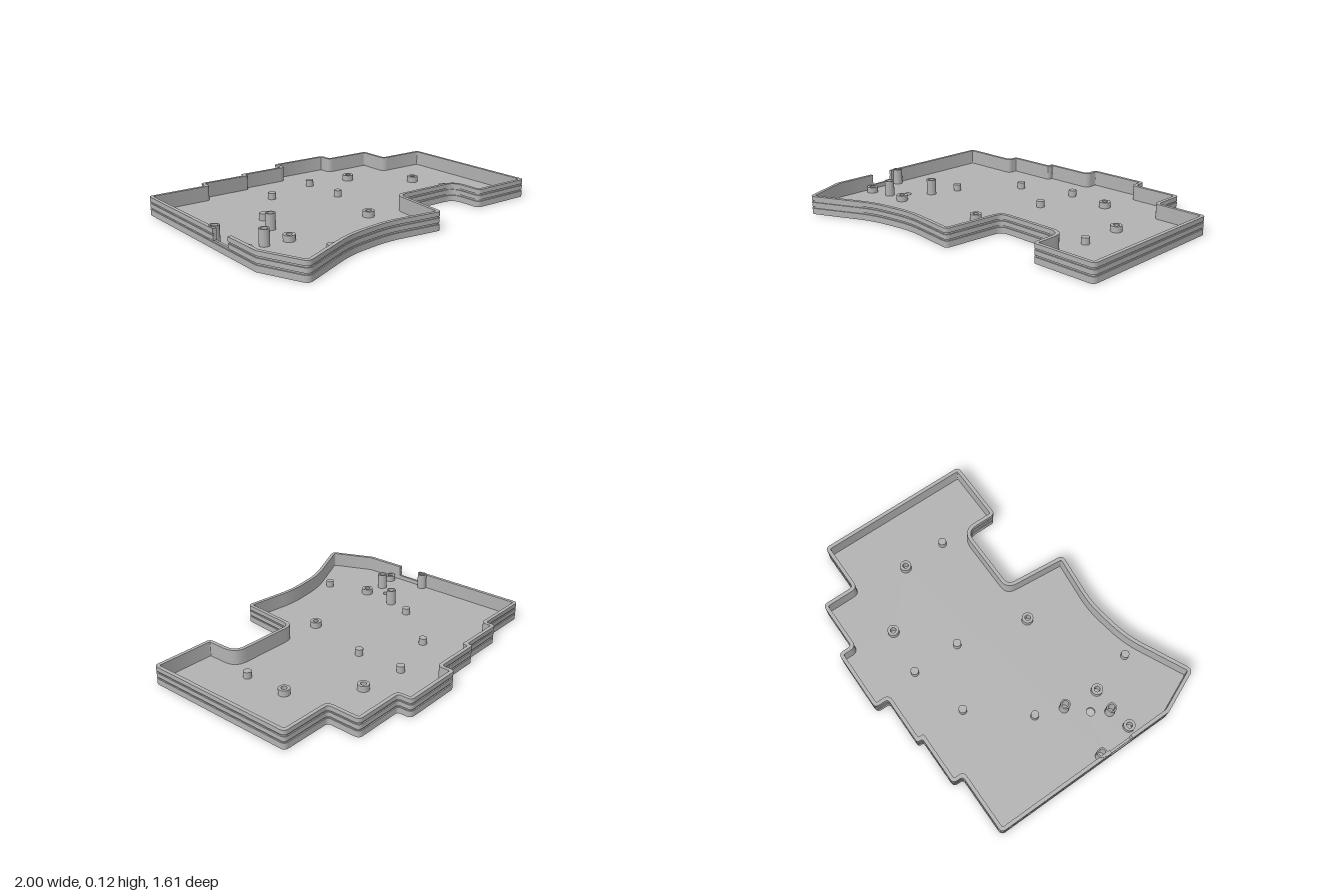
import * as THREE from 'three';
import { toCreasedNormals } from 'three/addons/utils/BufferGeometryUtils.js';

const HEIGHT = 0.11, FLOOR = 0.02, WALL = 0.022, GROOVE = 0.007;

// Sharp corners of the outline as [x, z, radius]; starts and ends at the side notch
const CORNERS = [
  [-1, 0.13, 0], [-1, -0.625, 0.03],
  [-0.63, -0.625, 0.02], [-0.63, -0.69, 0.03],
  [-0.325, -0.69, 0.015], [-0.325, -0.725, 0.02],
  [-0.02, -0.725, 0.02], [-0.02, -0.81, 0.03],
  [0.375, -0.81, 0.03], [0.375, -0.725, 0.02],
  [0.687, -0.725, 0.03], [0.687, -0.52, 0.02],
  [1, -0.52, 0.03], [1, 0.46, 0.03],
  [0.597, 0.46, 0.03], [0.597, 0.25, 0.07],
  [0.165, 0.25, 0.05], [0.13, 0.632, 0.03],
  [-0.22, 0.592, 0.7], [-0.5, 0.635, 0.7],
  [-0.883, 0.815, 0.035], [-1, 0.54, 0.04], [-1, 0.28, 0],
];

// Outline moved inwards by an inset, with its corners rounded
function outline(inset) {
  const n = CORNERS.length;
  const pts = CORNERS.map(([x, z]) => new THREE.Vector2(x, z));
  const dirs = pts.map((p, i) => pts[(i + 1) % n].clone().sub(p).normalize());
  const turns = pts.map((p, i) => {
    const a = dirs[(i + n - 1) % n], b = dirs[i];
    return Math.atan2(a.cross(b), a.dot(b));
  });
  const moved = pts.map((p, i) => {
    const a = dirs[(i + n - 1) % n], b = dirs[i];
    const k = inset / (1 + a.dot(b));
    return new THREE.Vector2(p.x - (a.y + b.y) * k, p.y + (a.x + b.x) * k);
  });
  const out = [];
  moved.forEach((p, i) => {
    const r = CORNERS[i][2];
    if (r === 0) { out.push(p); return; }
    const before = moved[(i + n - 1) % n], after = moved[(i + 1) % n];
    const radius = Math.max(0.006, r - Math.sign(turns[i]) * inset);
    const d = Math.min(radius * Math.tan(Math.abs(turns[i]) / 2),
      0.48 * p.distanceTo(before), 0.48 * p.distanceTo(after));
    const start = p.clone().addScaledVector(dirs[(i + n - 1) % n], -d);
    const end = p.clone().addScaledVector(dirs[i], d);
    out.push(...new THREE.QuadraticBezierCurve(start, p, end).getPoints(8));
  });
  return out;
}

function circlePath(x, z, r) {
  return new THREE.Path().absarc(x, z, r, 0, Math.PI * 2, true);
}

// Extrudes a plan shape between two heights
function slab(shape, y0, y1) {
  const g = new THREE.ExtrudeGeometry(shape, { depth: y1 - y0, bevelEnabled: false, curveSegments: 24 });
  g.rotateX(Math.PI / 2);
  g.translate(0, y1, 0);
  return toCreasedNormals(g, 0.6);
}

export function createModel() {
  const model = new THREE.Group();
  model.name = 'caseTray';
  const grey = new THREE.MeshStandardMaterial({ color: 0xb2b2b2 });
  grey.name = 'grey';
  const add = (name, geometry) => {
    const mesh = new THREE.Mesh(geometry, grey);
    mesh.name = name;
    model.add(mesh);
    return mesh;
  };

  const screwPosts = [[0.335, -0.465], [0.645, -0.175], [-0.06, 0.235], [-0.925, 0.325], [-0.65, 0.305]];
  const tallPosts = [[-0.967, 0.087], [-0.625, 0.087], [-0.793, 0.29]];
  const pegs = [[0.05, -0.5], [0.05, -0.2], [-0.3, -0.4], [-0.565, -0.08], [0.65, 0.1], [-0.575, 0.57]];

  // Floor with screw holes and one reset hole
  const floor = new THREE.Shape(outline(0));
  screwPosts.forEach(([x, z]) => floor.holes.push(circlePath(x, z, 0.017)));
  floor.holes.push(circlePath(-0.73, 0.2, 0.025));
  add('floor', slab(floor, 0, FLOOR));

  // Wall in layers: recessed layers make the grooves, upper layers leave the side notch open
  const inner = outline(WALL);
  [
    ['lowerWall', FLOOR, 0.036, 0, false],
    ['lowerGroove', 0.036, 0.046, GROOVE, false],
    ['middleWall', 0.046, 0.073, 0, true],
    ['upperGroove', 0.073, 0.083, GROOVE, true],
    ['upperWall', 0.083, HEIGHT, 0, true],
  ].forEach(([name, y0, y1, inset, notched]) => {
    const outer = outline(inset);
    let shape;
    if (notched) {
      shape = new THREE.Shape([...outer, ...inner.slice().reverse()]);
    } else {
      shape = new THREE.Shape(outer);
      shape.holes.push(new THREE.Path(inner));
    }
    add(name, slab(shape, y0, y1));
  });

  // Hollow posts: short ones over the screw holes, tall ones near the notch
  const hollowPost = (name, [x, z], rOuter, rInner, top) => {
    const ring = new THREE.Shape().absarc(x, z, rOuter, 0, Math.PI * 2, false);
    ring.holes.push(circlePath(x, z, rInner));
    add(name, slab(ring, FLOOR, top));
  };
  screwPosts.forEach((p) => hollowPost('screwPost', p, 0.034, 0.017, 0.056));
  tallPosts.forEach((p) => hollowPost('tallPost', p, 0.029, 0.02, 0.115));

  // Solid support pegs
  pegs.forEach(([x, z]) => {
    add('supportPeg', new THREE.CylinderGeometry(0.024, 0.024, 0.04, 32))
      .position.set(x, FLOOR + 0.02, z);
  });

  return model;
}
